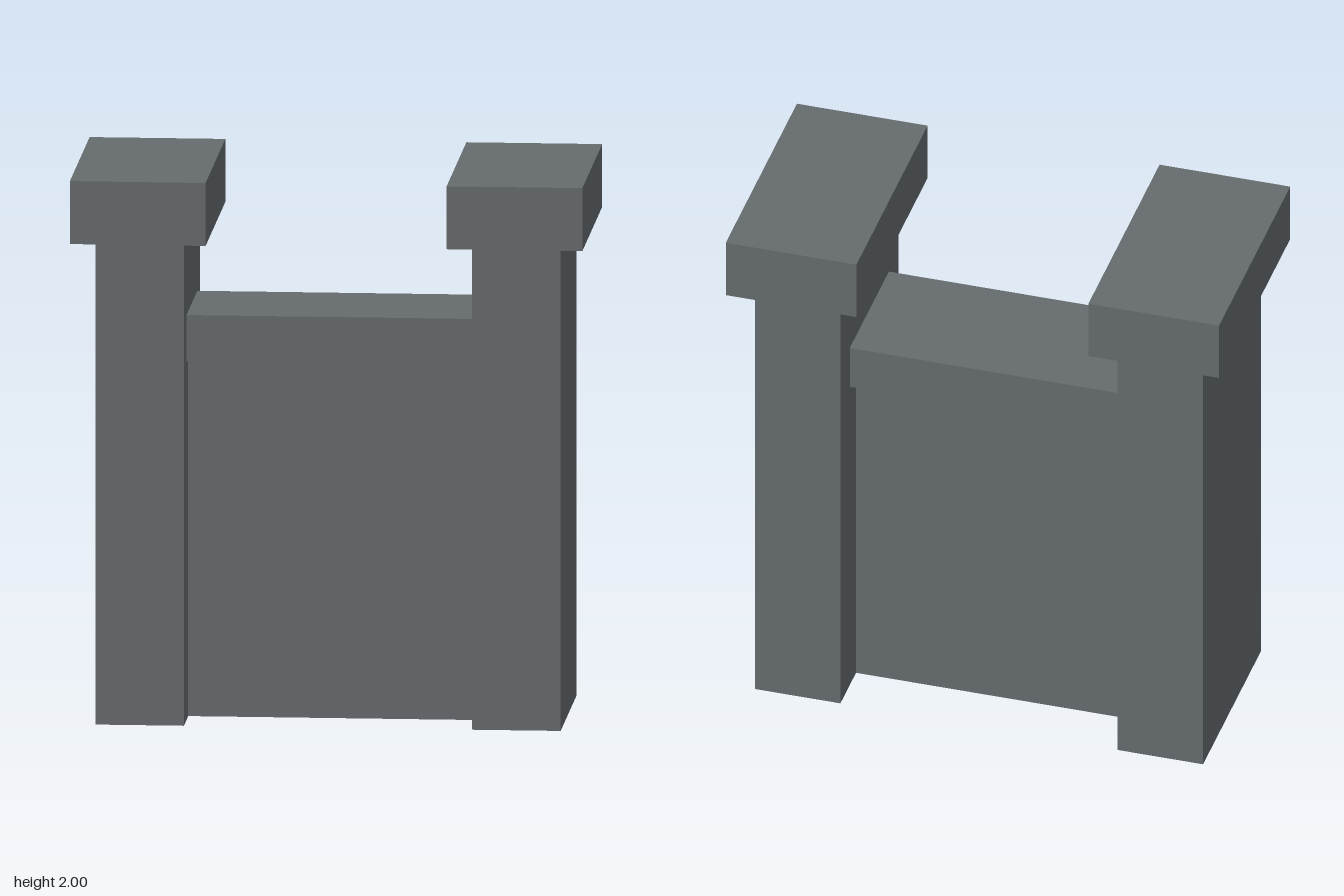
import * as THREE from 'three';

export function createModel() {
  const model = new THREE.Group();
  model.name = 'gateWall';

  const stone = new THREE.MeshStandardMaterial({ color: 0x666c6e });
  stone.name = 'grey stone';

  // Box given by its centre x, bottom and top y, width and depth
  function block(name, x, bottom, top, width, depth) {
    const mesh = new THREE.Mesh(new THREE.BoxGeometry(width, top - bottom, depth), stone);
    mesh.name = name;
    mesh.position.set(x, (bottom + top) / 2, 0);
    model.add(mesh);
  }

  // Wall panel and its overhanging coping between the pillars
  block('wallPanel', 0, 0, 1.31, 1.04, 0.34);
  block('wallCoping', 0, 1.31, 1.48, 1.04, 0.5);

  // Pillars with wider capstones
  for (const [side, s] of [['left', 1], ['right', -1]]) {
    block(side + 'Pillar', s * 0.68, 0, 1.77, 0.32, 0.74);
    block(side + 'Capstone', s * 0.68, 1.77, 2, 0.49, 0.91);
  }

  return model;
}
